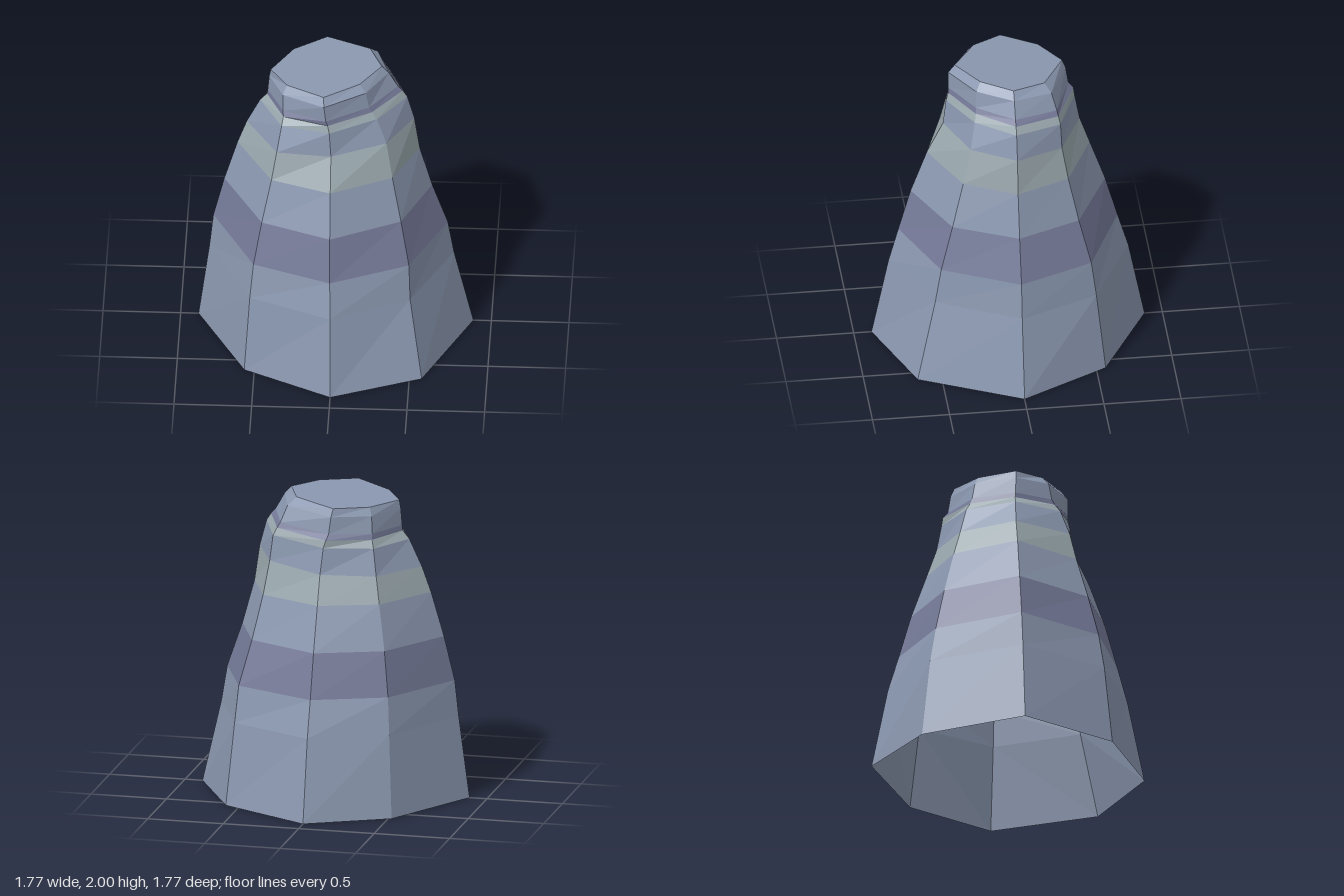
import * as THREE from 'three';

// Eight ridges going round from +x through +z: [base, middle, rim angle in degrees], reach at each ring
const RIDGES = [
  [[0, 0, 0], [.885, .76, .72, .62, .54, .505, .46, .43, .40, .34, .295]],
  [[48.5, 40, 51], [.875, .73, .695, .60, .505, .44, .37, .34, .325, .305, .256]],
  [[90, 92, 101], [.885, .775, .71, .63, .525, .42, .40, .385, .385, .385, .345]],
  [[133, 136, 149], [.828, .77, .73, .65, .56, .51, .45, .42, .41, .40, .36]],
  [[180, 182, 180], [.885, .815, .79, .72, .635, .575, .49, .445, .44, .43, .42]],
  [[230, 225, 219], [.813, .75, .71, .64, .555, .50, .45, .42, .41, .39, .362]],
  [[270, 269, 259], [.885, .78, .71, .63, .53, .465, .435, .43, .40, .385, .365]],
  [[316.5, 320, 315], [.815, .745, .71, .61, .525, .475, .455, .43, .41, .36, .297]],
];
const HEIGHTS = [0, .54, .78, 1.07, 1.36, 1.565, 1.735, 1.785, 1.82, 1.93, 1.982];

// Rock layers: name, first ring, last ring, color
const ROCK = 0x8b98b0, PALE = 0x9aa8ae, PURPLE = 0x757a98;
const LAYERS = [
  ['lowerSlope', 0, 2, ROCK],
  ['darkStratum', 2, 3, PURPLE],
  ['middleSlope', 3, 4, ROCK],
  ['paleStratum', 4, 5, PALE],
  ['upperSlope', 5, 6, ROCK],
  ['paleLedge', 6, 7, PALE],
  ['darkLedge', 7, 8, PURPLE],
  ['summitWall', 8, 10, ROCK],
];

// Corner of ring i on a ridge; the upper rings tilt up towards +x and +z
function corner([angles, reach], i) {
  const t = i / 5;
  const deg = t < 1
    ? THREE.MathUtils.lerp(angles[0], angles[1], t)
    : THREE.MathUtils.lerp(angles[1], angles[2], t - 1);
  const a = THREE.MathUtils.degToRad(deg);
  const x = Math.cos(a) * reach[i], z = Math.sin(a) * reach[i];
  const tilt = i >= 5 ? 0.065 * x + 0.03 * z : 0;
  return [x, HEIGHTS[i] + tilt, z];
}

function makeMesh(name, positions, color) {
  const geometry = new THREE.BufferGeometry();
  geometry.setAttribute('position', new THREE.Float32BufferAttribute(positions, 3));
  geometry.computeVertexNormals();
  const material = new THREE.MeshStandardMaterial({ color, flatShading: true, side: THREE.DoubleSide });
  const mesh = new THREE.Mesh(geometry, material);
  mesh.name = name;
  return mesh;
}

export function createModel() {
  const group = new THREE.Group();
  group.name = 'rockButte';
  const rings = HEIGHTS.map((_, i) => RIDGES.map((ridge) => corner(ridge, i)));
  const n = RIDGES.length;

  // Faceted walls, one mesh per layer, open underneath
  for (const [name, first, last, color] of LAYERS) {
    const positions = [];
    for (let i = first; i < last; i++) {
      for (let j = 0; j < n; j++) {
        const k = (j + 1) % n;
        const a = rings[i][j], b = rings[i][k], c = rings[i + 1][k], d = rings[i + 1][j];
        positions.push(...a, ...d, ...b, ...b, ...d, ...c);
      }
    }
    group.add(makeMesh(name, positions, color));
  }

  // Flat tilted summit
  const rim = rings[HEIGHTS.length - 1];
  const cap = [];
  for (let j = 1; j < n - 1; j++) cap.push(...rim[0], ...rim[j + 1], ...rim[j]);
  group.add(makeMesh('summit', cap, ROCK));

  return group;
}
